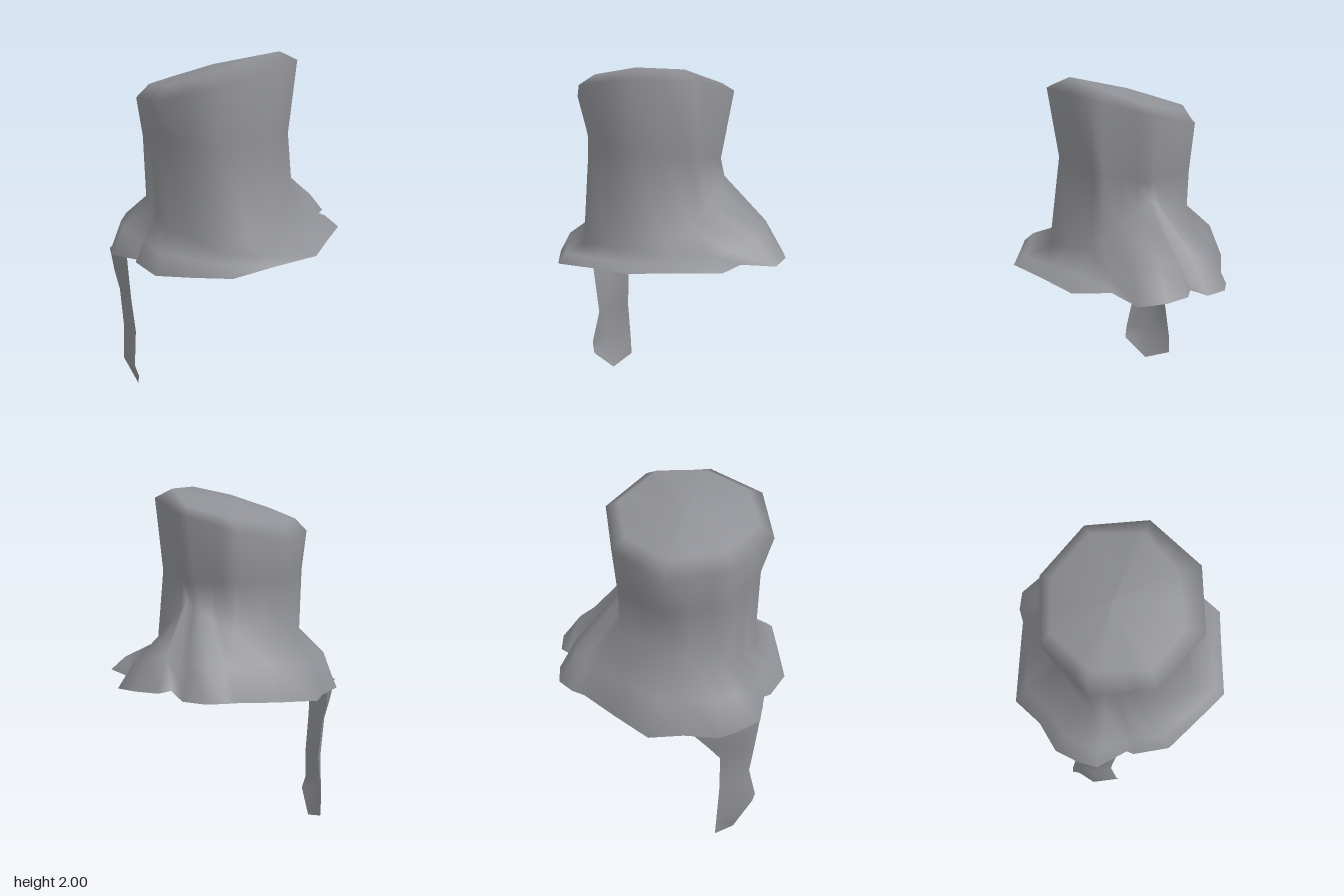
import * as THREE from 'three';

const felt = new THREE.MeshStandardMaterial({ color: 0x8f9095, side: THREE.DoubleSide });
felt.name = 'grey felt';

// Skin rows of [x, y, z] points; closed rows join their last point to the first
function loft(name, rows, closed) {
  const n = rows[0].length, index = [];
  for (let r = 0; r < rows.length - 1; r++) {
    for (let i = 0; i < (closed ? n : n - 1); i++) {
      const j = (i + 1) % n;
      const a = r * n + i, b = r * n + j, c = a + n, d = b + n;
      index.push(a, b, c, b, d, c);
    }
  }
  const geo = new THREE.BufferGeometry();
  geo.setAttribute('position', new THREE.Float32BufferAttribute(rows.flat(2), 3));
  geo.setIndex(index);
  geo.computeVertexNormals();
  const mesh = new THREE.Mesh(geo, felt);
  mesh.name = name;
  return mesh;
}

const mix = (p, q, t) => p.map((v, k) => v + (q[k] - v) * t);

// Point on an eight-cornered ring, u = 0..8 starting at the back, then +x, front, -x
function onRing(ring, u) {
  const i = Math.floor(u) % 8;
  return mix(ring[i], ring[(i + 1) % 8], u - Math.floor(u));
}

// Crown rings, top to bottom
const capCentre = [-0.1, 1.92, -0.05];
const capEdge = [
  [-0.1, 1.8, -0.39], [0.16, 1.83, -0.28], [0.28, 1.9, -0.02], [0.13, 1.99, 0.22],
  [-0.12, 2, 0.28], [-0.38, 1.95, 0.2], [-0.49, 1.87, -0.02], [-0.37, 1.82, -0.28],
];
const rim = [
  [-0.1, 1.71, -0.45], [0.22, 1.77, -0.32], [0.35, 1.86, -0.02], [0.21, 1.94, 0.28],
  [-0.12, 1.95, 0.41], [-0.44, 1.9, 0.29], [-0.57, 1.8, -0.02], [-0.43, 1.75, -0.32],
];
const waist = [
  [-0.1, 1.5, -0.42], [0.2, 1.5, -0.3], [0.28, 1.48, -0.02], [0.18, 1.53, 0.25],
  [-0.12, 1.56, 0.35], [-0.4, 1.57, 0.25], [-0.51, 1.59, -0.02], [-0.4, 1.53, -0.31],
];
const base = [
  [-0.1, 1.23, -0.39], [0.2, 1.22, -0.29], [0.3, 1.38, -0.03], [0.2, 1.12, 0.28],
  [-0.12, 1.04, 0.42], [-0.43, 1.02, 0.3], [-0.5, 1.08, -0.02], [-0.4, 1.18, -0.3],
];

// Ragged brim edge: ring position u, then x, y, z, then an optional fold height
const brimEdge = [
  [0, -0.065, 0.855, -0.655], [0.5, 0.16, 0.87, -0.545], [1, 0.37, 0.89, -0.44],
  [1.3, 0.45, 0.9, -0.43], [1.5, 0.545, 0.905, -0.375], [1.7, 0.59, 0.91, -0.25],
  [1.85, 0.57, 0.95, -0.155, -0.07], [2, 0.63, 0.94, -0.115], [2.2, 0.67, 0.94, 0.02],
  [2.5, 0.64, 0.93, 0.17], [2.8, 0.46, 0.95, 0.25, 0], [3, 0.405, 0.96, 0.46],
  [3.5, 0.17, 0.97, 0.555], [4, -0.06, 0.975, 0.65], [4.5, -0.29, 0.96, 0.555],
  [5, -0.52, 0.94, 0.465], [5.5, -0.6, 0.91, 0.255], [6, -0.675, 0.885, 0.05],
  [6.3, -0.63, 0.89, -0.15], [6.45, -0.6, 0.89, -0.18, 0], [6.75, -0.615, 0.87, -0.37],
  [7, -0.54, 0.86, -0.46], [7.3, -0.43, 0.85, -0.55], [7.6, -0.24, 0.845, -0.575],
];

// Torn strip hanging from the brim, three points per row
const strip = [
  [[-0.607, 0.88, -0.25], [-0.55, 0.87, -0.46], [-0.3, 0.845, -0.567]],
  [[-0.59, 0.72, -0.257], [-0.55, 0.74, -0.43], [-0.37, 0.74, -0.52]],
  [[-0.58, 0.62, -0.26], [-0.54, 0.62, -0.4], [-0.42, 0.63, -0.46]],
  [[-0.555, 0.4, -0.26], [-0.54, 0.4, -0.38], [-0.42, 0.4, -0.44]],
  [[-0.595, 0.2, -0.235], [-0.55, 0.18, -0.38], [-0.415, 0.17, -0.47]],
  [[-0.58, 0.13, -0.22], [-0.49, 0, -0.33], [-0.41, 0.05, -0.47]],
];

export function createModel() {
  const group = new THREE.Group();
  group.name = 'tattered hat';

  // Crown and brim are one smooth open shell
  const us = brimEdge.map((c) => c[0]);
  const edge = brimEdge.map((c) => c.slice(1, 4));
  const shoulder = brimEdge.map((c) => {
    const p = mix(onRing(base, c[0]), c.slice(1, 4), 0.7);
    p[1] += c[4] ?? 0.05 + 0.035 * Math.cos(c[0] * Math.PI / 4);
    return p;
  });
  const rows = [
    us.map(() => capCentre),
    ...[capEdge, rim, waist, base].map((ring) => us.map((u) => onRing(ring, u))),
    shoulder,
    edge,
  ];
  group.add(loft('crownAndBrim', rows, true));
  group.add(loft('hangingStrip', strip, false));
  return group;
}
